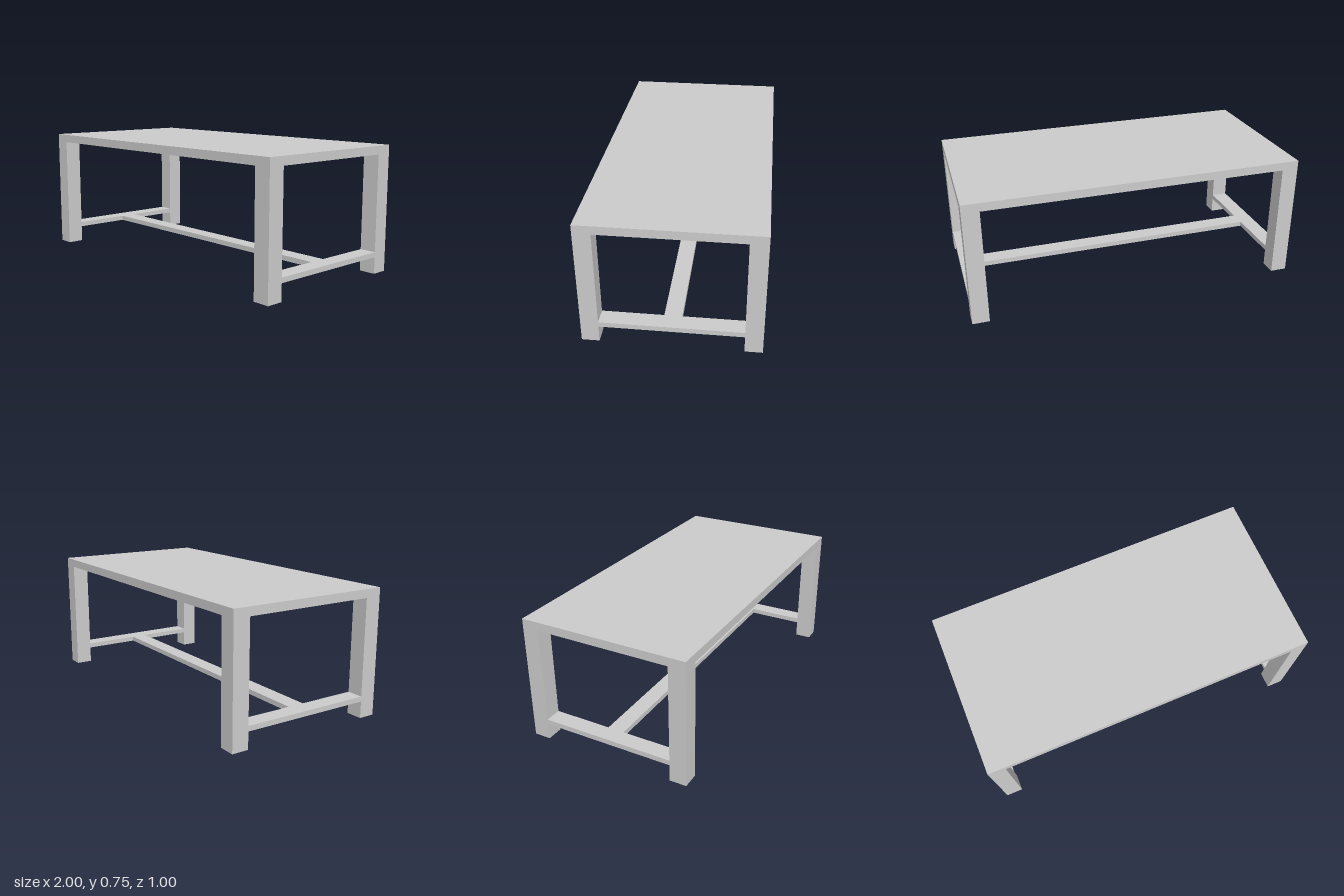
import * as THREE from 'three';

const material = new THREE.MeshStandardMaterial({ color: 0xcccccc });

// Box with its centre in x and z and its underside at y
function addBox(parent, name, [w, h, d], [x, y, z]) {
  const mesh = new THREE.Mesh(new THREE.BoxGeometry(w, h, d), material);
  mesh.name = name;
  mesh.position.set(x, y + h / 2, z);
  parent.add(mesh);
}

export function createModel() {
  const length = 2, depth = 1, height = 0.75;
  const topThickness = 0.05, leg = 0.1;
  const barThickness = 0.03, barHeight = 0.1;
  const legHeight = height - topThickness;

  const table = new THREE.Group();
  table.name = 'table';

  addBox(table, 'tabletop', [length, topThickness, depth], [0, legHeight, 0]);

  // Legs flush with the corners, joined by a stretcher at each end
  for (const [sx, side] of [[1, 'left'], [-1, 'right']]) {
    const x = sx * (length - leg) / 2;
    for (const [sz, end] of [[1, 'Front'], [-1, 'Back']]) {
      addBox(table, `${side}${end}Leg`, [leg, legHeight, leg], [x, 0, sz * (depth - leg) / 2]);
    }
    addBox(table, `${side}Stretcher`, [leg, barThickness, depth - 2 * leg], [x, barHeight, 0]);
  }

  // Long stretcher between the two ends
  addBox(table, 'centreStretcher', [length - 2 * leg, barThickness, leg], [0, barHeight, 0]);

  return table;
}
